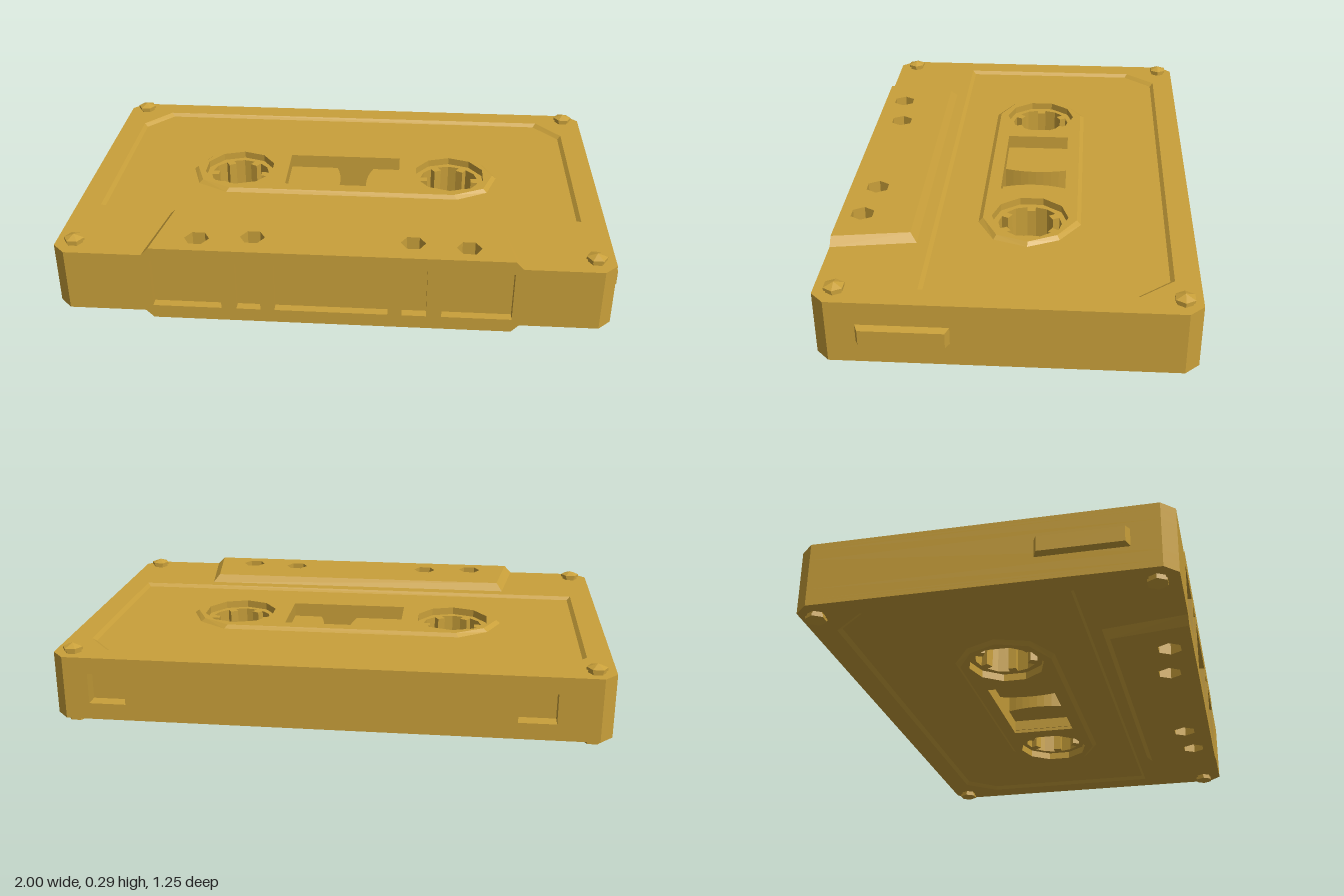
import * as THREE from 'three';

const material = new THREE.MeshStandardMaterial({ color: 0xc9a03a, flatShading: true, side: THREE.DoubleSide });
const HEIGHT = 0.295, TOP = 0.262, PANEL = 0.25, REEL_X = 0.413, REEL_Z = -0.05;

function add(group, name, geometry) {
  const mesh = new THREE.Mesh(geometry, material);
  mesh.name = name;
  group.add(mesh);
  return mesh;
}

// Horizontal plate from [x, z] outlines, between two heights
function slab(outline, holes, y0, y1) {
  const toPoints = (list) => list.map(([x, z]) => new THREE.Vector2(x, z));
  const shape = new THREE.Shape(toPoints(outline));
  shape.holes = holes.map((h) => new THREE.Path(toPoints(h)));
  const geometry = new THREE.ExtrudeGeometry(shape, { depth: y1 - y0, bevelEnabled: false });
  return geometry.rotateX(Math.PI / 2).translate(0, y1, 0);
}

// Sloped band joining two outlines with equal corner counts
function band(a, ya, b, yb) {
  const pos = [];
  a.forEach((p, i) => {
    const j = (i + 1) % a.length;
    const A = [p[0], ya, p[1]], B = [a[j][0], ya, a[j][1]];
    const C = [b[j][0], yb, b[j][1]], D = [b[i][0], yb, b[i][1]];
    pos.push(...A, ...D, ...B, ...B, ...D, ...C);
  });
  const geometry = new THREE.BufferGeometry();
  geometry.setAttribute('position', new THREE.Float32BufferAttribute(pos, 3));
  geometry.computeVertexNormals();
  return geometry;
}

const mirrorX = (half) => [...half, ...half.map(([x, z]) => [-x, z]).reverse()];
const inset = (list, cz, sx, sz) => list.map(([x, z]) => [x * sx, cz + (z - cz) * sz]);
const polygon = (cx, cz, r, n, start = 0) => Array.from({ length: n }, (_, i) => {
  const a = start + (i / n) * Math.PI * 2;
  return [cx + r * Math.cos(a), cz + r * Math.sin(a)];
});

// Openings
const windowHole = [[-0.22, -0.17], [0.217, -0.17], [0.217, 0.07], [-0.22, 0.07]];
const reelHoles = [-1, 1].map((s) => polygon(s * REEL_X, REEL_Z, 0.137, 10, Math.PI / 2));
const guideHoles = [[-0.473, 0.54], [-0.28, 0.52], [0.28, 0.52], [0.473, 0.54]]
  .map(([x, z]) => polygon(x, z, 0.044, 6));

// Outline of the shell, with optional pockets in the front and back edges
const frontPockets = [[0.385, 0.628], [0.247, 0.332], [-0.198, 0.198], [-0.332, -0.247], [-0.628, -0.385]];
const backPockets = [[-0.78, -0.65], [0.71, 0.84]];
function shellOutline(front, back) {
  const points = [[-0.972, 0.575], [-0.972, -0.577], [-0.927, -0.625]];
  if (back) for (const [a, b] of backPockets) points.push([a, -0.625], [a, -0.575], [b, -0.575], [b, -0.625]);
  points.push([0.927, -0.625], [0.972, -0.577], [0.972, 0.575], [0.927, 0.62]);
  if (front) for (const [a, b] of frontPockets) points.push([b, 0.62], [b, 0.587], [a, 0.587], [a, 0.62]);
  points.push([-0.927, 0.62]);
  return points;
}

// Details shared by the upper and lower faces
function createFace(name) {
  const face = new THREE.Group();
  face.name = name;

  // Rim around the sunken label panel
  const label = mirrorX([[0.885, 0.285], [0.885, -0.425], [0.79, -0.54]]);
  add(face, 'faceRim', slab(shellOutline(), [label, ...guideHoles], PANEL, TOP));
  add(face, 'labelBevel', band(label, TOP, inset(label, -0.127, 0.985, 0.968), PANEL));

  // Raised plateau around the reels
  const foot = mirrorX([[0.44, 0.132], [0.555, 0.07], [0.595, -0.05], [0.545, -0.16], [0.44, -0.232]]);
  const crown = inset(foot, REEL_Z, 0.975, 0.92);
  add(face, 'reelPlateau', slab(crown, [windowHole, ...reelHoles], PANEL, TOP));
  add(face, 'plateauBevel', band(foot, PANEL, crown, TOP));

  // Thick trapezoid along the front edge
  const base = [[-0.655, 0.62], [-0.61, 0.328], [0.61, 0.328], [0.655, 0.62]];
  const upper = [[-0.628, 0.62], [-0.588, 0.352], [0.588, 0.352], [0.628, 0.62]];
  add(face, 'headPlate', slab(upper, guideHoles, PANEL, 0.29));
  add(face, 'headPlateSlope', band(base, TOP, upper, 0.29));

  // Hexagonal screw heads
  const profile = [[0.03, 0.25], [0.03, 0.272], [0.036, 0.272], [0.036, 0.282], [0, HEIGHT]]
    .map(([r, y]) => new THREE.Vector2(r, y));
  for (const x of [-0.905, 0.905]) for (const z of [-0.565, 0.55]) {
    add(face, 'screw', new THREE.LatheGeometry(profile, 6, Math.PI / 2)).position.set(x, 0, z);
  }
  return face;
}

// Toothed hub inside a reel opening
function createHub(side) {
  const inner = [];
  for (let i = 0; i < 6; i++) {
    const a = (i * Math.PI) / 3;
    for (const [r, d] of [[0.112, -0.14], [0.086, -0.17], [0.086, 0.17], [0.112, 0.14], [0.114, Math.PI / 6]]) {
      inner.push([side * REEL_X + r * Math.cos(a + d), REEL_Z + r * Math.sin(a + d)]);
    }
  }
  return slab(polygon(side * REEL_X, REEL_Z, 0.137, 10, Math.PI / 2), [inner], 0.06, 0.235);
}

// Part of a wound tape spool that shows in the window
function createSpool(side, radius) {
  const edge = side * 0.22, points = [[edge, -0.17]];
  for (let i = 0; i <= 8; i++) {
    const z = -0.17 + 0.03 * i;
    points.push([side * (REEL_X - Math.sqrt(radius ** 2 - (z - REEL_Z) ** 2)), z]);
  }
  points.push([edge, 0.07]);
  return slab(points, [], 0.085, 0.21);
}

export function createModel() {
  const model = new THREE.Group();
  model.name = 'cassette';

  // Shell core in layers, so the edge pockets are real recesses
  const layers = [[0.045, 0.055, 0, 0], [0.055, 0.0925, 1, 0], [0.0925, 0.2025, 1, 1], [0.2025, 0.24, 1, 0], [0.24, PANEL, 0, 0]];
  for (const [y0, y1, front, back] of layers) {
    add(model, 'shellLayer', slab(shellOutline(front, back), [windowHole, ...reelHoles, ...guideHoles], y0, y1));
  }

  // Upper face, and the same face turned over below
  model.add(createFace('upperFace'));
  const lower = createFace('lowerFace');
  lower.rotation.z = Math.PI;
  lower.position.y = HEIGHT;
  model.add(lower);

  // Reels and tape
  for (const side of [-1, 1]) add(model, 'reelHub', createHub(side));
  add(model, 'rightSpool', createSpool(-1, 0.398));
  add(model, 'leftSpool', createSpool(1, 0.325));

  // Tapered grips on the sides
  for (const side of [-1, 1]) {
    const grip = new THREE.BoxGeometry(0.04, 0.066, 0.314);
    const p = grip.attributes.position;
    for (let i = 0; i < p.count; i++) {
      if (p.getX(i) * side > 0) p.setXYZ(i, p.getX(i), p.getY(i) * 0.82, p.getZ(i) * 0.89);
    }
    grip.computeVertexNormals();
    add(model, 'sideGrip', grip).position.set(side * 0.98, HEIGHT / 2, 0.327);
  }
  return model;
}
